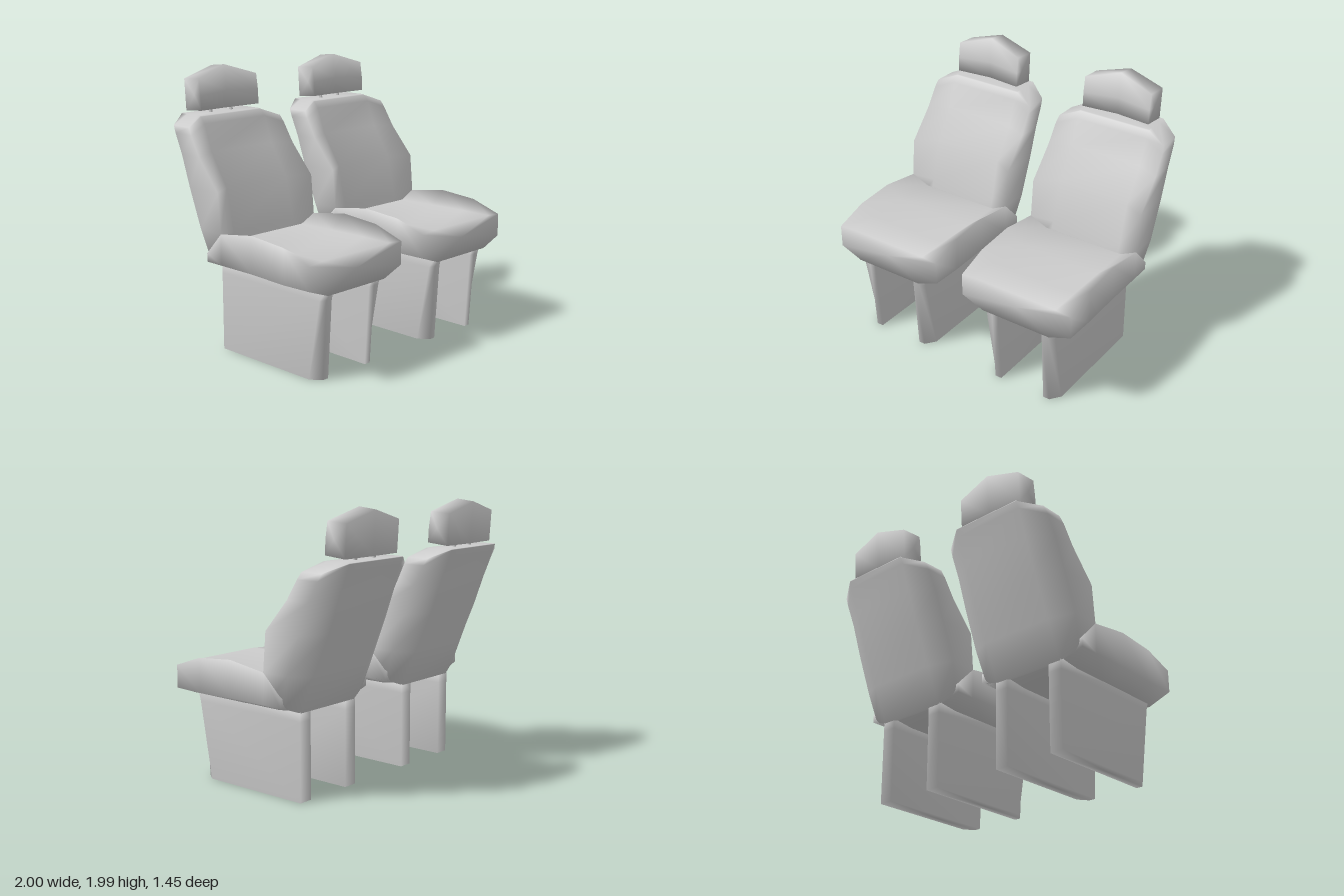
import * as THREE from 'three';

const material = new THREE.MeshStandardMaterial({ color: 0xcccccc, side: THREE.DoubleSide });

// Skins closed rings of [x, y, z] points with smooth normals and caps both ends
function loft(rings) {
  const n = rings[0].length;
  const pos = rings.flat(2);
  const index = [];
  for (let r = 0; r < rings.length - 1; r++) {
    for (let i = 0; i < n; i++) {
      const a = r * n + i, b = r * n + (i + 1) % n;
      index.push(a, b, a + n, b, b + n, a + n);
    }
  }
  [0, rings.length - 1].forEach((r) => {
    const c = pos.length / 3;
    for (let k = 0; k < 3; k++) pos.push(rings[r].reduce((s, p) => s + p[k], 0) / n);
    for (let i = 0; i < n; i++) {
      const a = r * n + i, b = r * n + (i + 1) % n;
      index.push(...(r === 0 ? [c, b, a] : [c, a, b]));
    }
  });
  // Turn the faces outward if the enclosed volume is negative
  const v = (i) => new THREE.Vector3().fromArray(pos, i * 3);
  let volume = 0;
  for (let i = 0; i < index.length; i += 3) {
    volume += v(index[i]).dot(v(index[i + 1]).cross(v(index[i + 2])));
  }
  if (volume < 0) index.reverse();
  const geo = new THREE.BufferGeometry();
  geo.setAttribute('position', new THREE.Float32BufferAttribute(pos, 3));
  geo.setIndex(index);
  geo.computeVertexNormals();
  return geo;
}

// Completes a half ring (x > 0) with its mirror image
const mirrorRing = (half) => [...half, ...half.map(([x, y, z]) => [-x, y, z]).reverse()];

function part(name, geometry) {
  const mesh = new THREE.Mesh(geometry, material);
  mesh.name = name;
  return mesh;
}

// Dished cushion, front to back: z, bottom y, lower side y, bolster y, centre y
function cushionGeometry() {
  const rows = [
    [0.725, 0.61, 0.675, 0.84, 0.85],
    [0.49, 0.61, 0.67, 0.92, 0.85],
    [0.19, 0.61, 0.68, 0.945, 0.845],
    [-0.12, 0.61, 0.68, 0.9, 0.84],
    [-0.27, 0.63, 0.68, 0.74, 0.74],
  ];
  return loft(rows.map(([z, bottom, low, edge, mid]) => mirrorRing([
    [0.27, bottom, z], [0.443, low, z], [0.443, edge, z], [0.32, mid, z],
  ])));
}

// Backrest, bottom to top: centre y, side y, half width, z of back, side, bolster, centre
function backrestGeometry() {
  const rows = [
    [0.62, 0.67, 0.41, -0.3, -0.26, -0.1, -0.1],
    [0.88, 0.9, 0.443, -0.415, -0.33, -0.12, -0.17],
    [1.18, 1.18, 0.443, -0.545, -0.44, -0.145, -0.24],
    [1.41, 1.4, 0.44, -0.63, -0.52, -0.335, -0.39],
    [1.6, 1.54, 0.435, -0.7, -0.59, -0.42, -0.46],
    [1.645, 1.59, 0.425, -0.72, -0.62, -0.45, -0.5],
    [1.65, 1.65, 0.28, -0.72, -0.65, -0.54, -0.51],
  ];
  return loft(rows.map(([y, ySide, w, back, side, bolster, mid]) => mirrorRing([
    [0.275, y, back], [w, ySide, side], [w, ySide, bolster], [0.28, y, mid],
  ])));
}

// Headrest, side to side: peaked in the middle with a shallow V front
function headrestGeometry() {
  const end = [[1.685, -0.508], [1.79, -0.513], [1.905, -0.53], [1.895, -0.69], [1.67, -0.675]];
  const middle = [[1.68, -0.545], [1.8, -0.55], [1.985, -0.57], [1.97, -0.71], [1.67, -0.685]];
  return loft([[-0.267, end], [0, middle], [0.267, end]]
    .map(([x, section]) => section.map(([y, z]) => [x, y, z])));
}

// Leg panel with its outer front corner cut back toward the floor
function legGeometry(side) {
  const ring = (y, inner, outer) => [
    [0.18, y, -0.3], [0.18, y, inner], [0.23, y, inner], [0.285, y, outer], [0.285, y, -0.3],
  ].map(([x, h, z]) => [x * side, h, z]);
  return loft([ring(0, 0.635, 0.56), ring(0.56, 0.67, 0.66), ring(0.66, 0.7, 0.69)]);
}

function createSeat(name) {
  const seat = new THREE.Group();
  seat.name = name;
  seat.add(
    part('cushion', cushionGeometry()),
    part('backrest', backrestGeometry()),
    part('headrest', headrestGeometry()),
  );
  for (const side of [-1, 1]) {
    const label = side > 0 ? 'left' : 'right';
    seat.add(part(`${label}LegPanel`, legGeometry(side)));
    const post = part(`${label}HeadrestPost`, new THREE.CylinderGeometry(0.013, 0.013, 0.11, 8));
    post.position.set(side * 0.095, 1.67, -0.62);
    post.rotation.x = -0.25;
    seat.add(post);
  }
  return seat;
}

export function createModel() {
  const model = new THREE.Group();
  model.name = 'seatPair';
  for (const side of [-1, 1]) {
    const seat = createSeat(side > 0 ? 'leftSeat' : 'rightSeat');
    seat.position.x = side * 0.556;
    model.add(seat);
  }
  return model;
}
